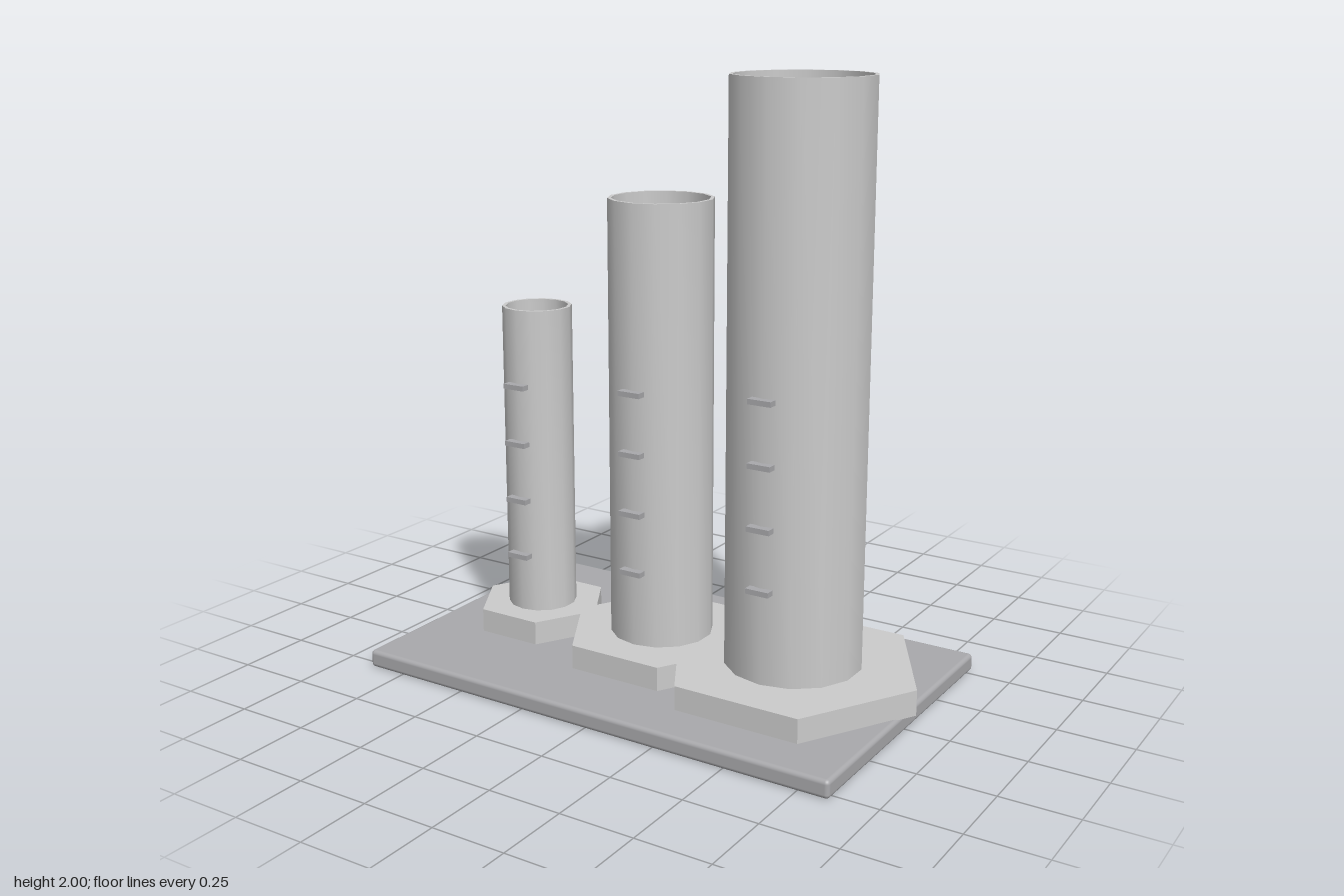
import * as THREE from 'three';
import { toCreasedNormals } from 'three/addons/utils/BufferGeometryUtils.js';
import { RoundedBoxGeometry } from 'three/addons/geometries/RoundedBoxGeometry.js';

const light = new THREE.MeshStandardMaterial({ color: 0xcccccc });
const lightFlat = new THREE.MeshStandardMaterial({ color: 0xcccccc, flatShading: true });
const dark = new THREE.MeshStandardMaterial({ color: 0xa9a9ac });
const blue = new THREE.MeshStandardMaterial({ color: 0xa6cacd });

const PLATE_TOP = 0.055, FOOT_TOP = 0.14, WALL = 0.012;

function part(parent, name, geometry, material, x, y, z) {
  const mesh = new THREE.Mesh(geometry, material);
  mesh.name = name;
  mesh.position.set(x, y, z);
  parent.add(mesh);
  return mesh;
}

// Open-topped tube with a thin wall
function tubeGeometry(radius, top) {
  const inner = radius - WALL;
  const profile = [[radius, FOOT_TOP - 0.02], [radius, top], [inner, top], [inner, FOOT_TOP - 0.02]]
    .map(([r, y]) => new THREE.Vector2(r, y));
  return toCreasedNormals(new THREE.LatheGeometry(profile, 14), 0.7);
}

// Tube on a hexagonal foot, with marks up its front and perhaps a ball inside
function cylinderUnit({ name, x, radius, footRadius, top, firstMark, ball }) {
  const unit = new THREE.Group();
  unit.name = name;
  unit.position.x = x;

  const footHeight = FOOT_TOP - PLATE_TOP;
  const foot = new THREE.CylinderGeometry(footRadius, footRadius, footHeight, 6).rotateY(Math.PI / 2);
  part(unit, 'hexFoot', foot, lightFlat, 0, PLATE_TOP + footHeight / 2, 0);

  part(unit, 'tube', tubeGeometry(radius, top), light, 0, 0, 0);

  for (let i = 0; i < 4; i++) {
    part(unit, 'mark' + (i + 1), new THREE.BoxGeometry(0.08, 0.017, 0.03), dark,
      0, firstMark + i * 0.2, radius + 0.009);
  }

  if (ball) {
    part(unit, 'ball', new THREE.SphereGeometry(ball, 32, 20), blue, 0, FOOT_TOP + ball, 0);
  }
  return unit;
}

export function createModel() {
  const model = new THREE.Group();
  model.name = 'measuringCylinders';

  // Base plate with softened edges
  part(model, 'basePlate', new RoundedBoxGeometry(1.74, 0.06, 1.07, 3, 0.014), dark, -0.015, 0.03, 0);

  const units = [
    { name: 'smallCylinder', x: -0.553, radius: 0.118, footRadius: 0.227, top: 1.2, firstMark: 0.34, ball: 0.102 },
    { name: 'mediumCylinder', x: -0.051, radius: 0.172, footRadius: 0.333, top: 1.6, firstMark: 0.395, ball: 0.157 },
    { name: 'largeCylinder', x: 0.452, radius: 0.225, footRadius: 0.433, top: 2.0, firstMark: 0.45, ball: 0 },
  ];
  for (const u of units) model.add(cylinderUnit(u));
  return model;
}
